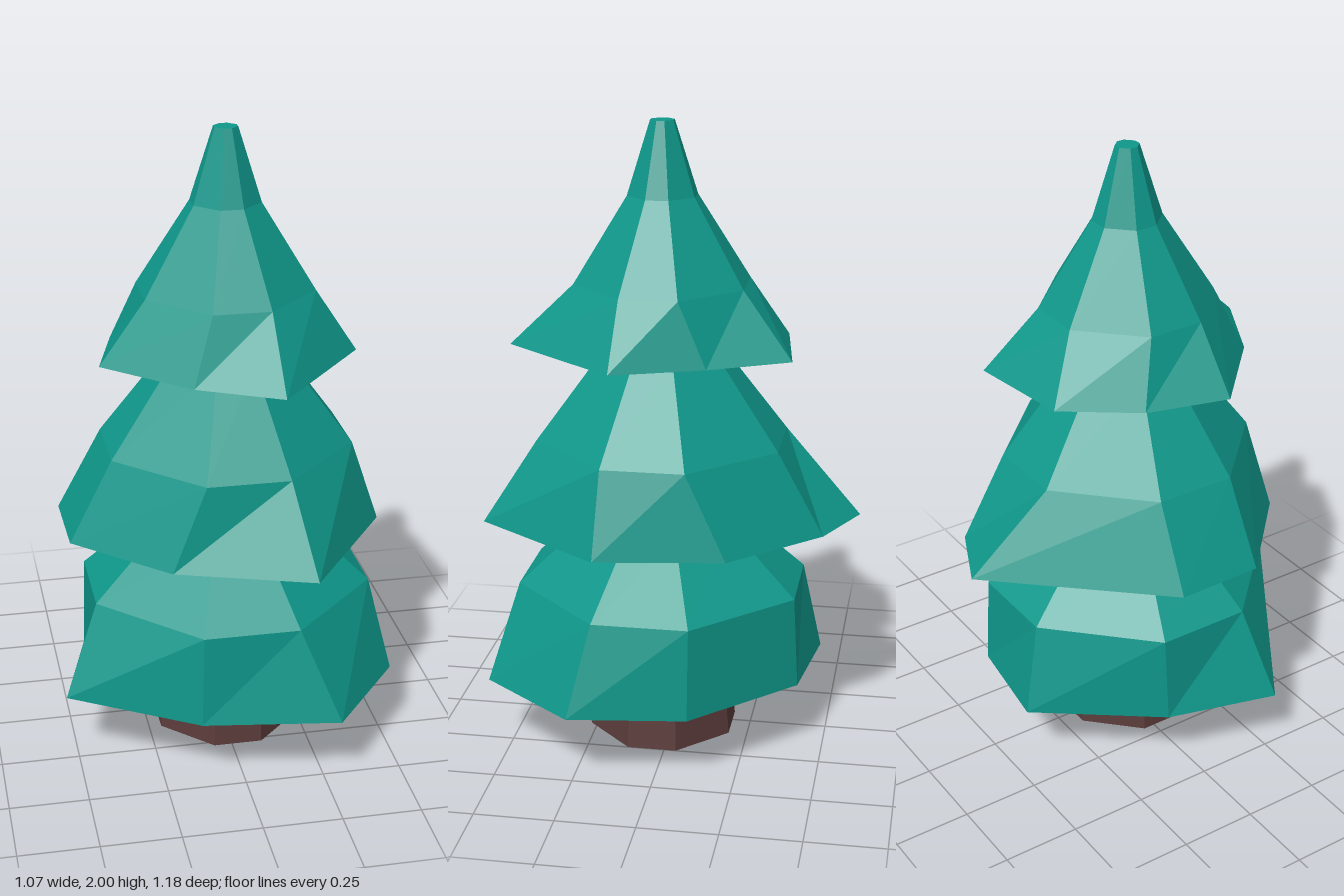
import * as THREE from 'three';

const CX = 0.02, CZ = 0.04; // trunk axis

// Eight-sided ring around the axis, r measured to the side faces
function ring(y, r) {
  const k = 0.34;
  return [[-k, -1], [k, -1], [1, -k], [1, k], [k, 1], [-k, 1], [-1, k], [-1, -k]]
    .map(([x, z]) => [CX + x * r, y, CZ + z * r]);
}

// Uneven hem ring from x,z corners in the same order
const hem = (y, pts) => pts.map(([x, z]) => [x, y, z]);

// Faceted skin through rings from bottom to top
function loft(rings, capBottom, capTop) {
  const pos = [];
  const tri = (a, b, c) => pos.push(...a, ...b, ...c);
  for (let r = 0; r < rings.length - 1; r++) {
    const lo = rings[r], up = rings[r + 1];
    for (let i = 0; i < 8; i++) {
      const j = (i + 1) % 8;
      tri(lo[j], lo[i], up[i]);
      tri(lo[j], up[i], up[j]);
    }
  }
  const first = rings[0], last = rings[rings.length - 1];
  for (let i = 1; i < 7; i++) {
    if (capBottom) tri(first[0], first[i], first[i + 1]);
    if (capTop) tri(last[0], last[i + 1], last[i]);
  }
  const geo = new THREE.BufferGeometry();
  geo.setAttribute('position', new THREE.Float32BufferAttribute(pos, 3));
  geo.computeVertexNormals();
  return geo;
}

export function createModel() {
  const group = new THREE.Group();
  const foliage = new THREE.MeshStandardMaterial({ color: 0x0f978a, flatShading: true, side: THREE.DoubleSide });
  foliage.name = 'teal foliage';
  const bark = new THREE.MeshStandardMaterial({ color: 0x5a3b3a, flatShading: true });
  bark.name = 'brown bark';

  const add = (name, geo, mat) => {
    const mesh = new THREE.Mesh(geo, mat);
    mesh.name = name;
    group.add(mesh);
  };

  // Tapered trunk running up inside the foliage
  add('trunk', loft([ring(0, 0.23), ring(1.6, 0.11)], true, true), bark);

  // Bottom skirt of branches, open underneath
  add('lowerBranches', loft([
    hem(0.225, [[-0.16, -0.465], [0.17, -0.42], [0.48, -0.11], [0.53, 0.26],
      [0.29, 0.565], [-0.14, 0.5], [-0.535, 0.255], [-0.435, -0.1]]),
    ring(0.52, 0.445), ring(0.735, 0.22), ring(0.86, 0.09),
  ]), foliage);

  // Middle skirt
  add('middleBranches', loft([
    hem(0.735, [[-0.06, -0.59], [0.16, -0.49], [0.43, -0.22], [0.49, 0.18],
      [0.2, 0.59], [-0.22, 0.45], [-0.5, 0.18], [-0.505, -0.1]]),
    ring(1.0, 0.383), ring(1.3, 0.168), ring(1.42, 0.08),
  ]), foliage);

  // Top skirt with its blunt tip
  add('upperBranches', loft([
    hem(1.3, [[-0.16, -0.34], [0.18, -0.385], [0.31, -0.14], [0.415, 0.14],
      [0.11, 0.51], [-0.14, 0.38], [-0.39, 0.14], [-0.32, -0.12]]),
    ring(1.5, 0.265), ring(1.77, 0.105), ring(2, 0.036),
  ], false, true), foliage);

  return group;
}
